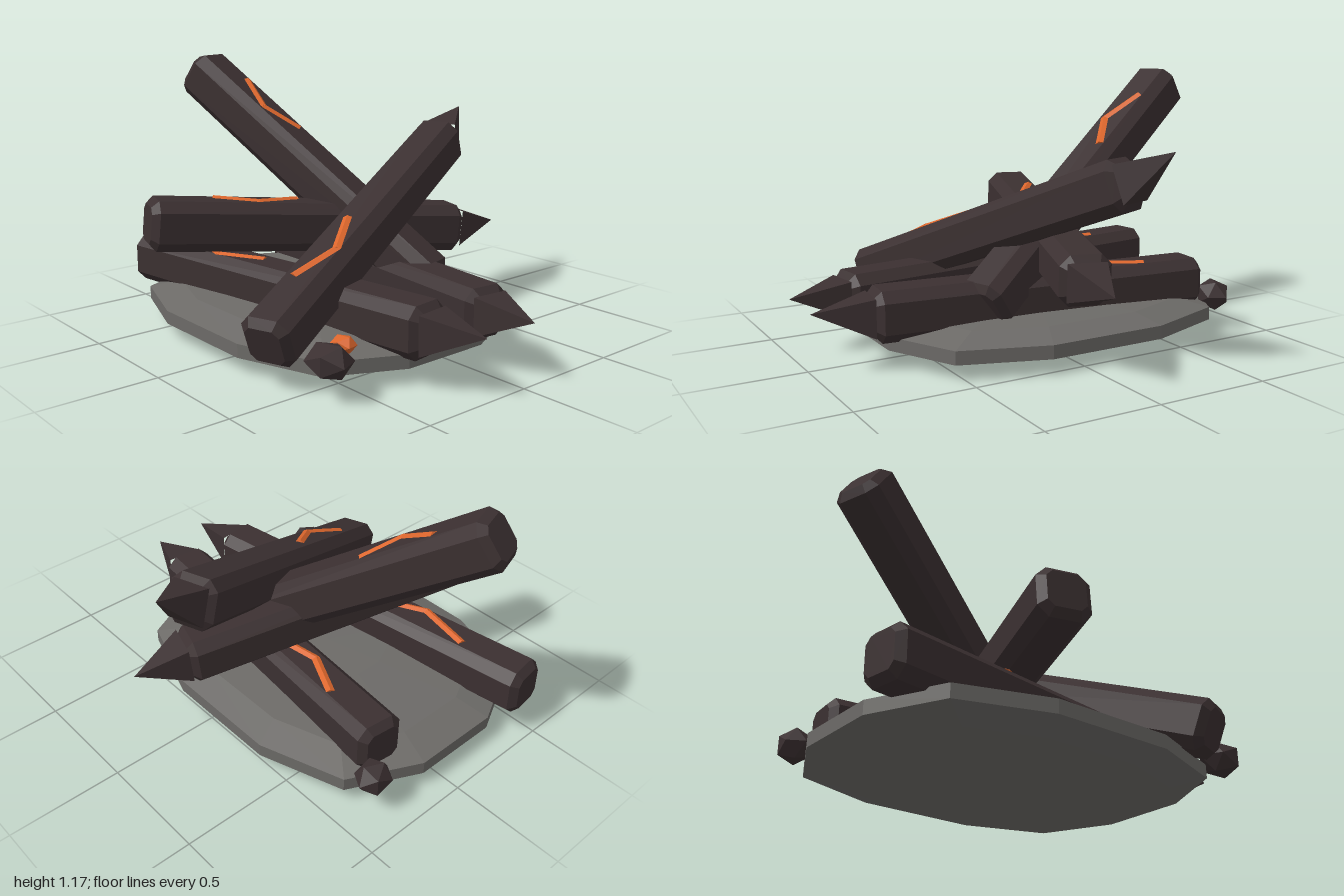
import * as THREE from 'three';

const charcoal = new THREE.MeshStandardMaterial({ color: 0x3b3031 });
charcoal.name = 'charredWood';
const ash = new THREE.MeshStandardMaterial({ color: 0x6c6a67 });
ash.name = 'ash';
const ember = new THREE.MeshStandardMaterial({ color: 0xdc662c });
ember.name = 'ember';

const HALF = 0.108, BEVEL = 0.03;
const V = (a) => new THREE.Vector3(...a);

function flat(geometry) {
  const g = geometry.index ? geometry.toNonIndexed() : geometry;
  g.computeVertexNormals();
  return g;
}

function mesh(name, geometry, material) {
  const m = new THREE.Mesh(geometry, material);
  m.name = name;
  return m;
}

// Square timber along local z, bevelled on every edge
function timberGeometry(length) {
  const s = HALF - BEVEL, c = s - 0.026;
  const shape = new THREE.Shape(
    [[s, -c], [s, c], [c, s], [-c, s], [-s, c], [-s, -c], [-c, -s], [c, -s]].map((p) => new THREE.Vector2(...p)));
  const g = new THREE.ExtrudeGeometry(shape, {
    depth: length - 2 * BEVEL, bevelEnabled: true, bevelSize: BEVEL, bevelThickness: BEVEL, bevelSegments: 1,
  });
  g.translate(0, 0, BEVEL - length / 2);
  return flat(g);
}

// Four-sided splinter from a square base to an off-centre tip
function splinterGeometry(z, tip) {
  const r = 0.082;
  const base = [[-r, -r], [r, -r], [r, r], [-r, r]];
  const points = [];
  base.forEach((a, i) => {
    const b = base[(i + 1) % 4];
    points.push(V([a[0], a[1], z]), V([b[0], b[1], z]), tip);
  });
  return flat(new THREE.BufferGeometry().setFromPoints(points));
}

// Shallow glowing ridge between two points on the top of a timber
function crackGeometry(a, b) {
  const d = b.clone().sub(a);
  const g = new THREE.CylinderGeometry(0.019, 0.019, d.length() + 0.012, 4);
  g.rotateX(Math.PI / 2);
  g.scale(1, 0.5, 1);
  g.rotateY(Math.atan2(d.x, d.z));
  g.translate((a.x + b.x) / 2, a.y, (a.z + b.z) / 2);
  return flat(g);
}

function log({ name, from, to, tip, crack }) {
  const a = V(from), b = V(to);
  const length = a.distanceTo(b);
  const group = new THREE.Group();
  group.name = name;
  group.position.copy(a).add(b).multiplyScalar(0.5);
  group.lookAt(b);
  group.updateMatrixWorld(true);
  group.add(mesh('timber', timberGeometry(length), charcoal));
  if (tip) {
    group.add(mesh('splinter', splinterGeometry(length / 2 - 0.002, group.worldToLocal(V(tip))), charcoal));
  }
  // Drop the plan points onto the upper face
  const n = new THREE.Vector3(0, 1, 0).applyQuaternion(group.quaternion);
  const k = n.dot(group.position) + HALF;
  const pts = crack.map(([x, z]) => group.worldToLocal(V([x, (k - n.x * x - n.z * z) / n.y, z])));
  for (let i = 0; i + 1 < pts.length; i++) {
    group.add(mesh('glowingCrack', crackGeometry(pts[i], pts[i + 1]), ember));
  }
  return group;
}

// Rounded twelve-sided pad of ash
function ashBed() {
  const outline = [[1, 0.315], [0.81, 0.8], [0.34, 1], [-0.34, 1], [-0.81, 0.8], [-1, 0.315],
    [-1, -0.315], [-0.81, -0.8], [-0.34, -1], [0.34, -1], [0.81, -0.8], [1, -0.315]];
  const rings = [[0, 0], [0.34, 0.004], [0.81, 0.025], [1, 0.066], [1, 0.124], [0.81, 0.163], [0.34, 0.183], [0, 0.185]];
  const pos = [], index = [];
  const n = outline.length;
  rings.forEach(([r, y]) => outline.forEach(([x, z]) => pos.push(-0.1 + x * r * 0.79, y, 0.105 + z * r * 0.635)));
  for (let j = 0; j + 1 < rings.length; j++) {
    for (let i = 0; i < n; i++) {
      const p = j * n + i, q = j * n + (i + 1) % n;
      if (j > 0) index.push(p, q + n, q);
      if (j + 2 < rings.length) index.push(p, p + n, q + n);
      else index.splice(index.length - 3, 3, p, p + n, q);
      if (j === 0) index.splice(index.length - 3, 3, p, p + n, q + n);
    }
  }
  const g = new THREE.BufferGeometry();
  g.setAttribute('position', new THREE.Float32BufferAttribute(pos, 3));
  g.setIndex(index);
  return mesh('ashBed', flat(g), ash);
}

function lump(name, position, size, turn, material) {
  const g = new THREE.IcosahedronGeometry(1, 0);
  g.rotateY(turn);
  g.scale(...size);
  const m = mesh(name, flat(g), material);
  m.position.set(...position);
  return m;
}

export function createModel() {
  const model = new THREE.Group();
  model.name = 'burntLogPile';
  model.add(ashBed());

  // Charred logs
  const logs = [
    { name: 'frontLog', from: [-0.945, 0.22, 0.485], to: [0.755, 0.22, 0.25], tip: [1, 0.25, 0.215],
      crack: [[-0.63, 0.405], [-0.38, 0.46], [-0.18, 0.36]] },
    { name: 'backLog', from: [-0.775, 0.22, -0.225], to: [0.755, 0.22, -0.07], tip: [1, 0.25, -0.05],
      crack: [[-0.48, -0.24], [-0.29, -0.145], [-0.1, -0.17]] },
    { name: 'raisedLog', from: [-0.91, 1.1, 0.2], to: [0.3, 0.22, -0.19],
      crack: [[-0.68, 0.08], [-0.51, 0.11], [-0.4, -0.01]] },
    { name: 'leaningLog', from: [0.41, 0.19, 0.78], to: [-0.1, 0.77, -0.65], tip: [-0.17, 0.905, -0.84],
      crack: [[0.18, 0.185], [0.31, 0.35], [0.3, 0.555]] },
    { name: 'crossLog', from: [-0.38, 0.52, 0.81], to: [0.05, 0.375, -0.585], tip: [0.083, 0.37, -0.82],
      crack: [[-0.225, 0.15], [-0.21, 0.36], [-0.33, 0.51]] },
  ];
  logs.forEach((l) => model.add(log(l)));

  // Loose coals
  model.add(lump('coalFront', [0.605, 0.155, 0.63], [0.105, 0.075, 0.09], 0.4, charcoal));
  model.add(lump('coalBack', [-0.825, 0.155, -0.325], [0.075, 0.075, 0.085], 1.1, charcoal));
  model.add(lump('glowingCoal', [0.525, 0.165, 0.495], [0.058, 0.038, 0.05], 0.2, ember));
  return model;
}
